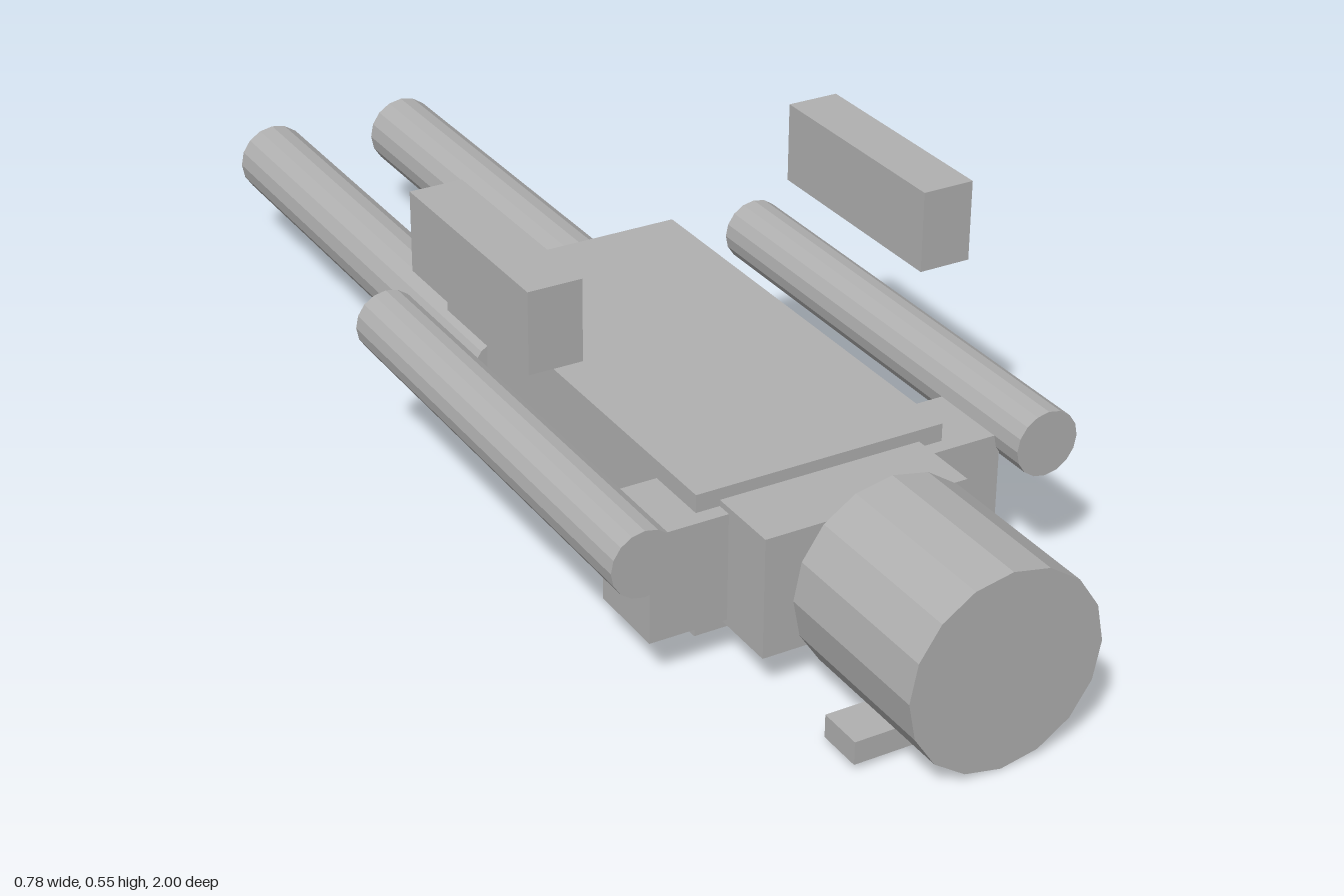
import * as THREE from 'three';

export function createModel() {
  const model = new THREE.Group();
  const grey = new THREE.MeshStandardMaterial({ color: 0xb0b0b0, flatShading: true });
  grey.name = 'grey';

  const add = (name, geometry, x, y, z) => {
    const mesh = new THREE.Mesh(geometry, grey);
    mesh.name = name;
    mesh.position.set(x, y, z);
    model.add(mesh);
  };

  // Box given by its extents along each axis
  const box = (name, [x0, x1], [y0, y1], [z0, z1]) =>
    add(name, new THREE.BoxGeometry(x1 - x0, y1 - y0, z1 - z0),
      (x0 + x1) / 2, (y0 + y1) / 2, (z0 + z1) / 2);

  // Sixteen-sided cylinder lying along z
  const rod = (name, radius, x, y, [z0, z1]) =>
    add(name, new THREE.CylinderGeometry(radius, radius, z1 - z0, 16).rotateX(Math.PI / 2),
      x, y, (z0 + z1) / 2);

  // Body
  box('torso', [-0.208, 0.207], [0.042, 0.276], [-0.215, 0.57]);
  box('neck', [-0.169, 0.167], [0.062, 0.257], [0.5, 0.692]);
  box('shoulderBar', [-0.296, 0.293], [0.072, 0.247], [0.46, 0.595]);

  // Head with a thin bar below it
  rod('head', 0.157, 0.022, 0.159, [0.714, 1]);
  box('headBar', [-0.154, 0.195], [0.011, 0.048], [0.832, 0.906]);

  // Legs reach a little way into the torso
  rod('rightLeg', 0.063, -0.174, 0.16, [-1, -0.075]);
  rod('leftLeg', 0.063, 0.083, 0.16, [-1, -0.075]);

  // Arms and the blocks floating above them
  for (const [side, s] of [['left', 1], ['right', -1]]) {
    rod(side + 'Arm', 0.053, s * 0.336, 0.247, [-0.168, 0.652]);
    const x = s * 0.329;
    box(side + 'Block', [x - 0.043, x + 0.043], [0.422, 0.552], [0.012, 0.386]);
  }
  return model;
}
